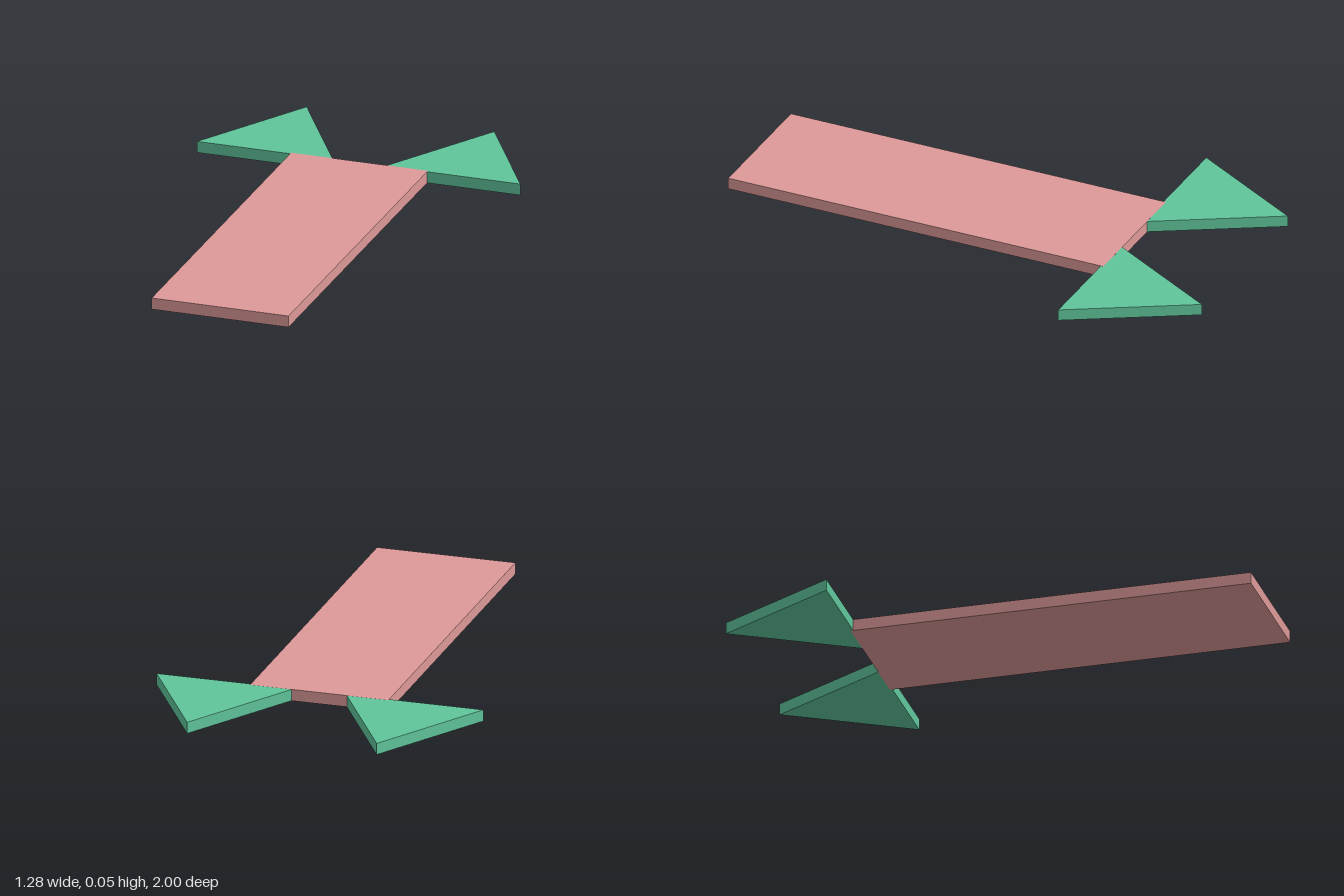
import * as THREE from 'three';

const THICKNESS = 0.045;

// Flat plate lying on the ground; outline points are [x, z], counter-clockwise from above
function plate(name, outline, thickness, color) {
  const shape = new THREE.Shape(outline.map(([x, z]) => new THREE.Vector2(x, -z)));
  const geometry = new THREE.ExtrudeGeometry(shape, { depth: thickness, bevelEnabled: false });
  geometry.rotateX(-Math.PI / 2);
  const mesh = new THREE.Mesh(geometry, new THREE.MeshStandardMaterial({ color, flatShading: true }));
  mesh.name = name;
  return mesh;
}

export function createModel() {
  const group = new THREE.Group();
  group.name = 'plateWithTriangles';

  // Long rectangular board
  const w = 0.27, back = -0.546, front = 1;
  group.add(plate('board', [[-w, front], [w, front], [w, back], [-w, back]], THICKNESS, 0xdd9999));

  // Equilateral triangles at the back corners, a hair thinner so the board covers the overlap
  const half = 0.268, base = -0.536, inset = 0.0002;
  for (const [name, x] of [['leftTriangle', 0.37], ['rightTriangle', -0.37]]) {
    const triangle = plate(name, [[x - half, base], [x + half, base], [x, -1]], THICKNESS - 2 * inset, 0x60c59b);
    triangle.position.y = inset;
    group.add(triangle);
  }
  return group;
}
